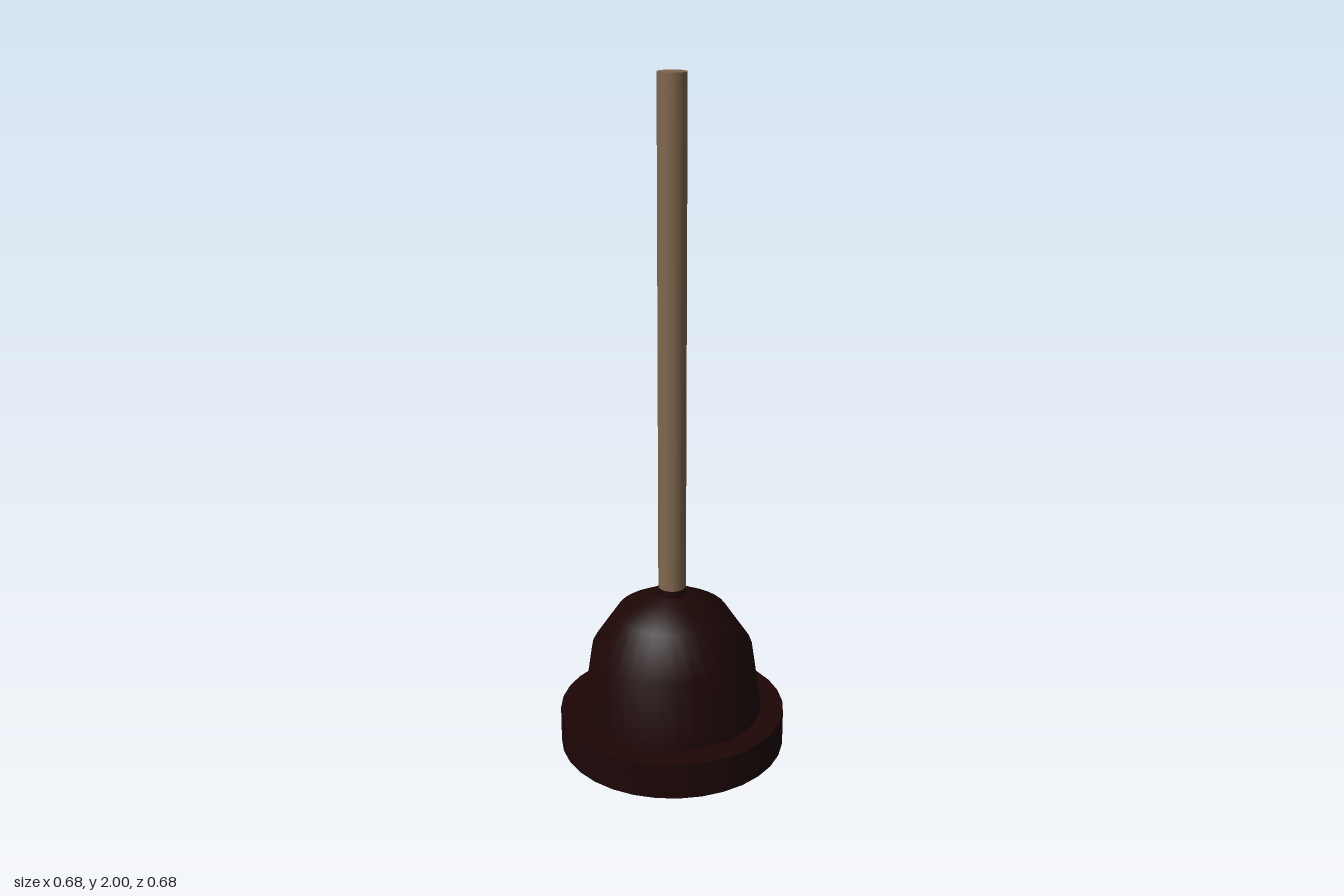
import * as THREE from 'three';

const SIDES = 32;

export function createModel() {
  const group = new THREE.Group();
  const rubber = new THREE.MeshStandardMaterial({ name: 'dark rubber', color: 0x1d0505 });
  const wood = new THREE.MeshStandardMaterial({ name: 'wood', color: 0x80674f });

  const add = (name, geometry, material) => {
    const mesh = new THREE.Mesh(geometry, material);
    mesh.name = name;
    group.add(mesh);
    return mesh;
  };
  // Profiles run anticlockwise in (radius, height) so faces point outwards
  const lathe = (name, profile) =>
    add(name, new THREE.LatheGeometry(profile.map(([r, y]) => new THREE.Vector2(r, y)), SIDES), rubber);

  // Wide rim with a slightly dished base; each face is its own strip for sharp edges
  lathe('rimWall', [[0.339, 0], [0.339, 0.11]]);
  lathe('rimTop', [[0.339, 0.11], [0.22, 0.11]]);
  lathe('baseBevel', [[0.285, 0.01], [0.339, 0]]);
  lathe('baseFloor', [[0, 0.01], [0.285, 0.01]]);

  // Bell cup, resting on a recessed neck that leaves a thin groove
  lathe('cupNeck', [[0.22, 0.108], [0.22, 0.115]]);
  lathe('cupUnderside', [[0.22, 0.115], [0.271, 0.115]]);
  lathe('cup', [[0.271, 0.115], [0.241, 0.316], [0.165, 0.431], [0.087, 0.473], [0.04, 0.488]]);
  lathe('collar', [[0.0415, 0.48], [0.0415, 0.51], [0.039, 0.51]]);

  // Straight handle
  const handle = add('handle', new THREE.CylinderGeometry(0.041, 0.041, 1.53, SIDES), wood);
  handle.position.y = 1.235;

  return group;
}
